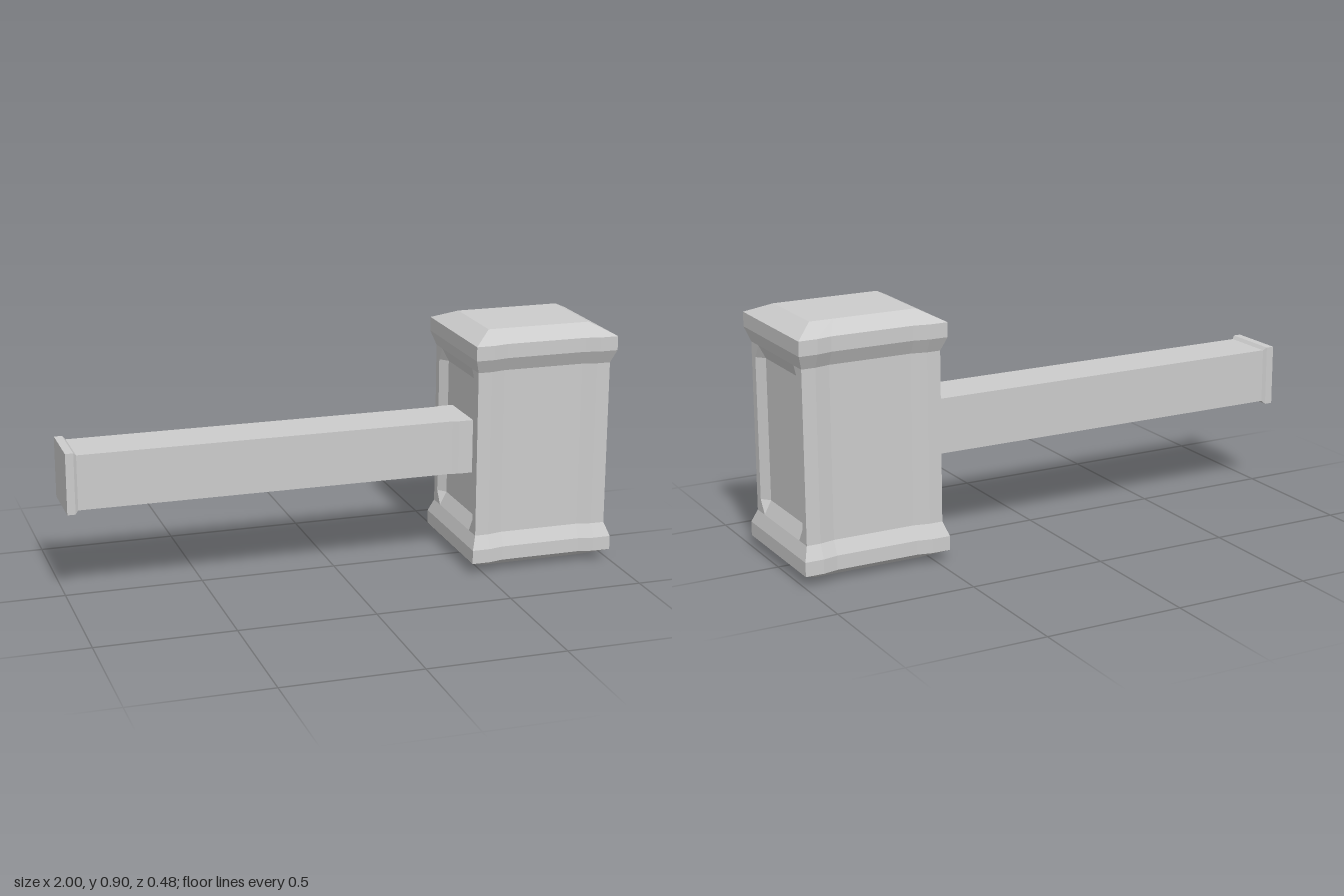
import * as THREE from 'three';

const V = (x, y, z) => new THREE.Vector3(x, y, z);

// Collects convex polygons, each turned to face its given outward direction.
function polyBuilder() {
  const tris = [];
  return {
    add(points, out) {
      const n = V(0, 0, 0);
      for (let i = 1; i < points.length - 1; i++) {
        n.add(points[i].clone().sub(points[0]).cross(points[i + 1].clone().sub(points[0])));
      }
      const p = n.dot(out) < 0 ? [...points].reverse() : points;
      for (let i = 1; i < p.length - 1; i++) tris.push(p[0], p[i], p[i + 1]);
    },
    mesh(name) {
      const geometry = new THREE.BufferGeometry().setFromPoints(tris);
      geometry.computeVertexNormals();
      const mesh = new THREE.Mesh(geometry, new THREE.MeshStandardMaterial({ color: 0xcccccc, flatShading: true }));
      mesh.name = name;
      return mesh;
    },
  };
}

function createHead() {
  const b = polyBuilder();
  const cx = 0.727, cy = 0.448;
  // levels from bottom to top: y, half width, half depth, dip of front and back
  const levels = [
    [0.0, 0.195, 0.153, 0], [0.042, 0.272, 0.241, 0.012], [0.093, 0.272, 0.241, 0.012],
    [0.142, 0.255, 0.217, 0.012], [0.755, 0.255, 0.217, 0.012],
    [0.805, 0.272, 0.241, 0.012], [0.857, 0.272, 0.241, 0.012], [0.896, 0.195, 0.153, 0],
  ];
  const rings = levels.map(([y, hx, hz, dip]) => {
    const k = dip ? 1 : 0.72;
    const row = [[-hx, 0], [-0.205 * k, 0], [-0.15 * k, dip], [0.15 * k, dip], [0.205 * k, 0], [hx, 0]];
    const front = row.map(([x, d]) => V(cx + x, y, hz - d));
    const back = row.map(([x, d]) => V(cx + x, y, d - hz)).reverse();
    return [...front, ...back];
  });
  const sides = [5, 11]; // ring segments on the right and left faces
  for (let i = 0; i < rings.length - 1; i++) {
    for (let j = 0; j < 12; j++) {
      if (i === 3 && sides.includes(j)) continue;
      const k = (j + 1) % 12;
      const q = [rings[i][j], rings[i][k], rings[i + 1][k], rings[i + 1][j]];
      const out = q.reduce((s, p) => s.add(p), V(0, 0, 0)).divideScalar(4).sub(V(cx, cy, 0));
      b.add(q, out);
    }
  }
  b.add(rings[0], V(0, -1, 0));
  b.add(rings[7], V(0, 1, 0));

  // recessed panels on both side faces
  const y0 = 0.142, y1 = 0.191, y2 = 0.706, y3 = 0.755;
  const edge = 0.217, outer = 0.185, inner = 0.153, depth = 0.026;
  for (const s of [1, -1]) {
    const out = V(s, 0, 0);
    const top = (y, z) => V(cx + s * 0.255, y, z);
    const floor = (y, z) => V(cx + s * (0.255 - depth), y, z);
    for (const m of [1, -1]) {
      b.add([top(y0, m * edge), top(y0, m * inner), top(y1, m * outer), top(y1, m * edge)], out);
      b.add([top(y1, m * edge), top(y1, m * outer), top(y2, m * outer), top(y2, m * edge)], out);
      b.add([top(y2, m * edge), top(y2, m * outer), top(y3, m * inner), top(y3, m * edge)], out);
      b.add([top(y1, m * outer), floor(y1, m * inner), floor(y2, m * inner), top(y2, m * outer)], out);
      b.add([top(y0, m * inner), floor(y1, m * inner), top(y1, m * outer)], out);
      b.add([top(y3, m * inner), floor(y2, m * inner), top(y2, m * outer)], out);
    }
    for (const [ya, yb] of [[y0, y1], [y3, y2]]) {
      b.add([top(ya, inner), top(ya, -inner), floor(yb, -inner), floor(yb, inner)], out);
    }
    b.add([floor(y1, inner), floor(y1, -inner), floor(y2, -inner), floor(y2, inner)], out);
  }
  return b.mesh('hammerHead');
}

function createHandle() {
  const b = polyBuilder();
  const cy = 0.448;
  // square sections from the pommel to the head: x, half height, half depth
  const rings = [
    [-1, 0.111, 0.109], [-0.971, 0.111, 0.109], [-0.96, 0.1, 0.1],
    [0.42, 0.1, 0.1], [0.445, 0.1, 0.106], [0.52, 0.1, 0.106],
  ].map(([x, h, d]) => [V(x, cy - h, d), V(x, cy + h, d), V(x, cy + h, -d), V(x, cy - h, -d)]);
  for (let i = 0; i < rings.length - 1; i++) {
    for (let j = 0; j < 4; j++) {
      const k = (j + 1) % 4;
      const out = rings[i][j].clone().add(rings[i][k]).multiplyScalar(0.5).sub(V(0, cy, 0)).setX(0);
      b.add([rings[i][j], rings[i][k], rings[i + 1][k], rings[i + 1][j]], out);
    }
  }
  b.add(rings[0], V(-1, 0, 0));
  b.add(rings[rings.length - 1], V(1, 0, 0));
  return b.mesh('handle');
}

export function createModel() {
  const group = new THREE.Group();
  group.name = 'hammer';
  group.add(createHead(), createHandle());
  return group;
}
